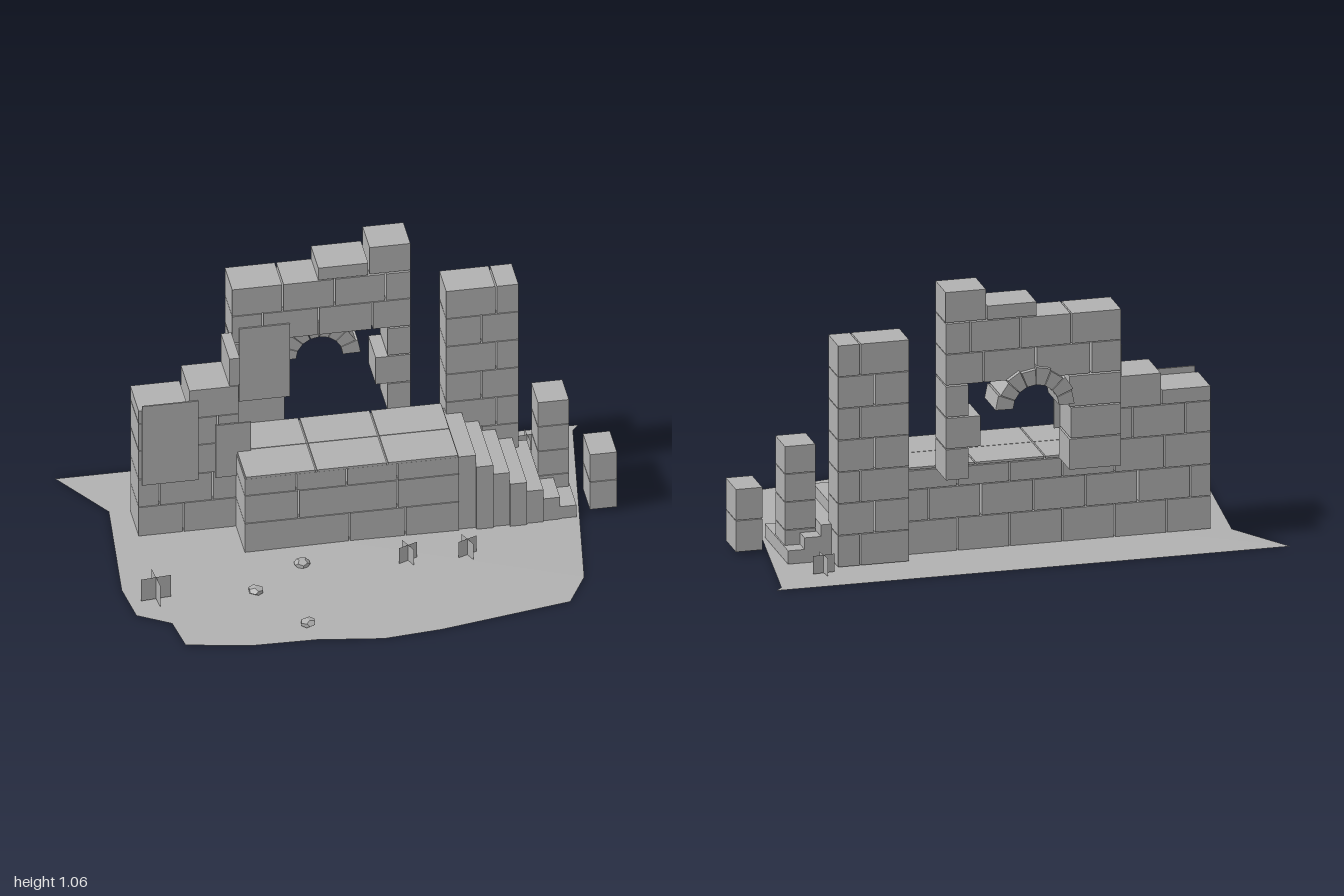
import * as THREE from 'three';

const stone = new THREE.MeshStandardMaterial({ color: 0xb0b0b0 });
stone.name = 'grey stone';
stone.side = THREE.DoubleSide;
const GAP = 0.003;

export function createModel() {
  const model = new THREE.Group();
  model.name = 'ruinedWall';

  const section = (name) => {
    const g = new THREE.Group();
    g.name = name;
    model.add(g);
    return g;
  };
  const add = (parent, name, geometry) => {
    const m = new THREE.Mesh(geometry, stone);
    m.name = name;
    parent.add(m);
    return m;
  };
  // box given by its limits on each axis, shrunk slightly to leave a joint
  const block = (parent, name, x0, x1, y0, y1, z0, z1, gap = GAP) => {
    const m = add(parent, name, new THREE.BoxGeometry(x1 - x0 - gap * 2, y1 - y0 - gap, z1 - z0));
    m.position.set((x0 + x1) / 2, (y0 + y1) / 2, (z0 + z1) / 2);
    return m;
  };
  // one course of blocks between successive x joints
  const course = (parent, xs, y0, y1, z0, z1) => {
    for (let i = 0; i + 1 < xs.length; i++) block(parent, 'block', xs[i], xs[i + 1], y0, y1, z0, z1);
  };

  // ground: shallow mound with a ragged rim
  const rim = [[-1, -0.636], [0.963, -0.636], [0.936, -0.604], [0.8, 0.36], [0.72, 0.51], [0.22, 0.605],
    [0, 0.626], [-0.246, 0.588], [-0.487, 0.583], [-0.727, 0.535], [-0.75, 0.385], [-0.87, 0.31],
    [-0.893, 0.134], [-0.845, -0.385]];
  const tri = [];
  rim.forEach(([x, z], i) => {
    const [x2, z2] = rim[(i + 1) % rim.length];
    tri.push(0, 0.014, 0, x2, 0.005, z2, x, 0.005, z);
  });
  const groundGeo = new THREE.BufferGeometry();
  groundGeo.setAttribute('position', new THREE.Float32BufferAttribute(tri, 3));
  groundGeo.computeVertexNormals();
  add(model, 'ground', groundGeo);

  // platform: front face courses with paving on top
  const platform = section('platform');
  course(platform, [-0.405, -0.01, 0.2, 0.405], 0.008, 0.137, -0.2, -0.022);
  course(platform, [-0.405, -0.2, 0.17, 0.405], 0.137, 0.26, -0.2, -0.022);
  course(platform, [-0.405, -0.21, -0.02, 0.17, 0.405], 0.26, 0.335, -0.2, -0.022);
  for (const [z0, z1] of [[-0.37, -0.2], [-0.197, -0.018]])
    course(platform, [-0.402, -0.135, 0.132, 0.4], 0.335, 0.347, z0, z1);

  // long back wall, stepping up at its left end
  const wall = section('lowWall');
  const wz = [-0.372, -0.2];
  course(wall, [-0.77, -0.6, -0.4, -0.2, 0, 0.2, 0.405], 0.008, 0.137, ...wz);
  course(wall, [-0.77, -0.69, -0.49, -0.29, -0.09, 0.11, 0.31, 0.405], 0.137, 0.26, ...wz);
  course(wall, [-0.4, -0.2, 0, 0.2, 0.405], 0.26, 0.335, ...wz);
  course(wall, [-0.77, -0.59, -0.4], 0.26, 0.387, ...wz);
  course(wall, [-0.77, -0.67, -0.47, -0.39], 0.387, 0.507, ...wz);
  course(wall, [-0.77, -0.58], 0.507, 0.565, ...wz);
  course(wall, [-0.58, -0.39], 0.507, 0.632, ...wz);
  block(wall, 'loneBlock', -0.43, -0.385, 0.632, 0.755, ...wz);

  // window wall
  const win = section('windowWall');
  const vz = [-0.52, -0.37];
  const jambs = [[0.335, -0.185, 0.195], [0.457, -0.19, 0.15], [0.58, -0.185, 0.195]];
  for (const [y, left, right] of jambs) {
    course(win, [-0.388, left], y, y + 0.121, ...vz);
    course(win, [right, 0.287], y, y + 0.121, ...vz);
  }
  course(win, [-0.388, -0.27, -0.06, 0.14, 0.287], 0.704, 0.825, ...vz);
  course(win, [-0.388, -0.195, 0, 0.19, 0.287], 0.825, 0.945, ...vz);
  block(win, 'topBlock', -0.065, 0.128, 0.946, 1.002, ...vz);
  block(win, 'topBlock', 0.128, 0.287, 0.946, 1.067, -0.516, -0.374);

  // window arch of wedge stones
  const arch = section('arch');
  const wedges = 8;
  for (let i = 0; i < wedges; i++) {
    const a = (i / wedges) * Math.PI + 0.012, b = ((i + 1) / wedges) * Math.PI - 0.012;
    const rOut = i % 2 ? 0.147 : 0.155, rIn = 0.088;
    const s = new THREE.Shape([[rIn, a], [rOut, a], [rOut, b], [rIn, b]]
      .map(([r, t]) => new THREE.Vector2(r * Math.cos(t), r * Math.sin(t))));
    const m = add(arch, 'archStone', new THREE.ExtrudeGeometry(s, { depth: 0.155, bevelEnabled: false }));
    m.position.set(-0.055, 0.597, -0.54);
  }

  // tall right pillar
  const pillar = section('tallPillar');
  for (let i = 0; i < 7; i++) {
    const y = 0.012 + i * 0.1233;
    course(pillar, [0.405, i % 2 ? 0.54 : 0.595, 0.682], y, y + 0.1233, -0.457, -0.318);
  }

  // short pillars on the right
  const posts = section('shortPillars');
  for (let i = 0; i < 4; i++) {
    const y = 0.01 + i * 0.109;
    block(posts, 'block', 0.72, 0.842, y, y + 0.109, -0.297, -0.162);
  }
  for (let i = 0; i < 2; i++)
    block(posts, 'block', 0.896, 1.003, 0.016 + i * 0.123, 0.139 + i * 0.123, -0.2, -0.058);

  // stairs descending to the right
  const stairs = section('stairs');
  for (let i = 0; i < 7; i++) {
    const x = 0.403 + i * 0.063;
    const shift = [0, 0.012, 0.004, 0.014, 0.006, 0, -0.004][i];
    block(stairs, 'step', x, x + 0.063, 0.008, 0.33 - i * 0.045, -0.36, -0.03 + shift, 0);
  }

  // thin upright panels on the wall faces
  const panels = section('wallPanels');
  block(panels, 'panel', -0.36, -0.17, 0.45, 0.772, -0.368, -0.362, 0);
  block(panels, 'panel', -0.755, -0.545, 0.237, 0.587, -0.198, -0.192, 0);
  block(panels, 'panel', -0.48, -0.348, 0.24, 0.472, -0.195, -0.189, 0);

  // plants: crossed upright sheets
  const plants = section('plants');
  for (const [x, z, w, h, turn] of [[-0.78, 0.22, 0.115, 0.095, 0.1], [0.18, 0.142, 0.08, 0.07, 0.4],
    [0.402, 0.142, 0.08, 0.07, 0.4], [0.745, -0.497, 0.085, 0.07, 0.1]]) {
    for (const t of [0, Math.PI / 2]) {
      const m = add(plants, 'plantSheet', new THREE.PlaneGeometry(w, h));
      m.position.set(x, 0.01 + h / 2, z);
      m.rotation.y = turn + t;
    }
  }

  // loose stones
  const stones = section('looseStones');
  [[-0.21, 0.1], [-0.41, 0.245], [-0.26, 0.49]].forEach(([x, z], i) => {
    const m = add(stones, 'looseStone', new THREE.DodecahedronGeometry(0.031, 0));
    m.scale.y = 0.5;
    m.position.set(x, 0.02, z);
    m.rotation.y = i;
  });

  return model;
}
